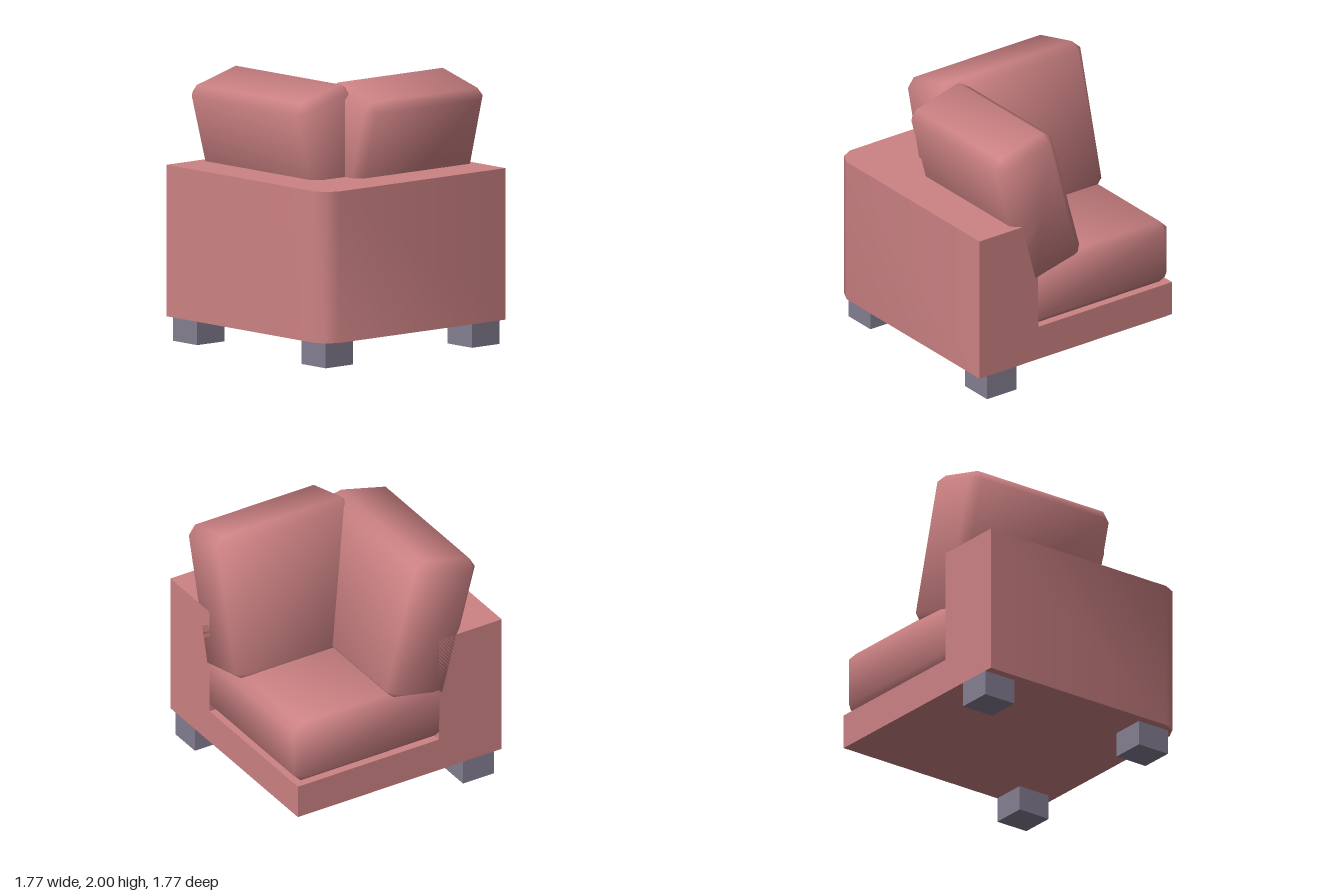
import * as THREE from 'three';
import { ConvexGeometry } from 'three/addons/geometries/ConvexGeometry.js';
import { toCreasedNormals } from 'three/addons/utils/BufferGeometryUtils.js';

const fabric = new THREE.MeshStandardMaterial({ color: 0xcd8284 });
fabric.name = 'rose fabric';
const legPaint = new THREE.MeshStandardMaterial({ color: 0x857f92 });
legPaint.name = 'grey leg';

const HALF = 0.885;   // half of the footprint
const INNER = 0.34;   // inner side of both walls
const FLOOR = 0.19;   // underside of the body
const BASE_TOP = 0.455;
const WALL_TOP = 1.32;
const BEVEL = 0.065;

function addMesh(parent, name, geometry, material, x = 0, y = 0, z = 0) {
  const mesh = new THREE.Mesh(geometry, material);
  mesh.name = name;
  mesh.position.set(x, y, z);
  parent.add(mesh);
  return mesh;
}

// Box with chamfered edges and soft, blended normals
function cushionGeometry(w, h, d) {
  const half = [w / 2, h / 2, d / 2];
  const points = [];
  for (const sx of [-1, 1]) for (const sy of [-1, 1]) for (const sz of [-1, 1]) {
    for (let face = 0; face < 3; face++) {
      const p = [sx, sy, sz].map((s, i) => s * (half[i] - (i === face ? 0 : BEVEL)));
      points.push(new THREE.Vector3(...p));
    }
  }
  const geometry = new ConvexGeometry(points);
  const pos = geometry.attributes.position;
  const normal = new THREE.Vector3();
  for (let i = 0; i < pos.count; i++) {
    const p = [pos.getX(i), pos.getY(i), pos.getZ(i)];
    const n = p.map((v, a) => Math.sign(v) * (Math.abs(v) > half[a] - BEVEL / 2 ? 2.3 : 1));
    normal.set(...n).normalize();
    geometry.attributes.normal.setXYZ(i, normal.x, normal.y, normal.z);
  }
  return geometry;
}

// Back cushion leaning outwards over the +z wall
function addBackCushion(parent, name, length, x) {
  const cushion = addMesh(parent, name, cushionGeometry(length, 1.135, 0.53), fabric, x, 1.4, 0.306);
  cushion.rotation.x = THREE.MathUtils.degToRad(15);
}

export function createModel() {
  const model = new THREE.Group();
  model.name = 'cornerSeat';

  // L-shaped walls with a softened outer corner, drawn in plan (x, z)
  const plan = new THREE.Shape([
    [-HALF, INNER], [INNER, INNER], [INNER, -HALF], [HALF, -HALF],
    [HALF, 0.75], [0.84, 0.84], [0.75, HALF], [-HALF, HALF],
  ].map(([x, z]) => new THREE.Vector2(x, z)));
  const walls = new THREE.ExtrudeGeometry(plan, { depth: WALL_TOP - FLOOR, bevelEnabled: false });
  walls.rotateX(Math.PI / 2);
  addMesh(model, 'cornerWalls', toCreasedNormals(walls, 0.7), fabric, 0, WALL_TOP, 0);

  // Base platform under the seat
  const side = HALF + INNER;
  const mid = (INNER - HALF) / 2;
  addMesh(model, 'seatBase', new THREE.BoxGeometry(side, BASE_TOP - FLOOR, side), fabric,
    mid, (BASE_TOP + FLOOR) / 2, mid);

  // Seat cushion, tucked slightly into the walls
  const seatSide = side + 0.07;
  const seatMid = -HALF + seatSide / 2;
  addMesh(model, 'seatCushion', cushionGeometry(seatSide, 0.495, seatSide), fabric,
    seatMid, BASE_TOP + 0.2475, seatMid);

  // Two leaning back cushions, the second turned to the +x wall
  addBackCushion(model, 'frontBackCushion', 1.295, -0.2375);
  const turned = new THREE.Group();
  turned.name = 'sideBackCushionGroup';
  turned.rotation.y = Math.PI / 2;
  addBackCushion(turned, 'sideBackCushion', 1.16, 0.305);
  model.add(turned);

  // Three block legs; the open corner has none
  for (const [x, z] of [[-0.75, 0.685], [0.68, 0.685], [0.68, -0.75]]) {
    addMesh(model, 'leg', new THREE.BoxGeometry(0.27, FLOOR, 0.27), legPaint, x, FLOOR / 2, z);
  }
  return model;
}
